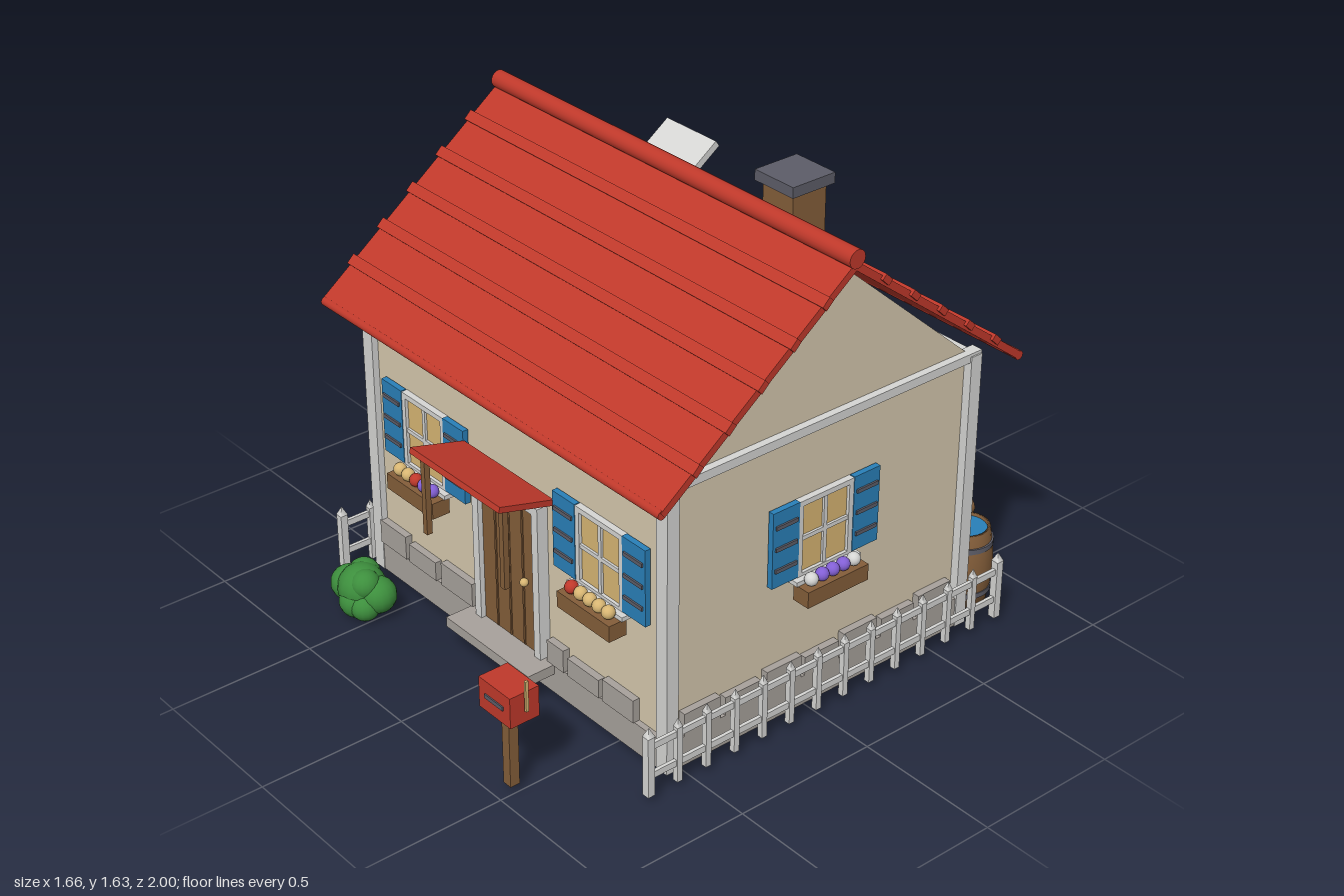
import * as THREE from 'three';

const mat = (name, color) => new THREE.MeshStandardMaterial({ name, color });

export function createModel() {
  const M = {
    red: mat('roof red', 0xc0392b), wall: mat('plaster cream', 0xd6c9ae), white: mat('trim white', 0xd6d6d4),
    brown: mat('wood brown', 0x845e3a), blue: mat('shutter blue', 0x2980b9), stone: mat('stone grey', 0xa8a29c),
    slate: mat('slate grey', 0x5d5d68), gold: mat('warm yellow', 0xd8b673), green: mat('leaf green', 0x3d8f3d),
    purple: mat('flower purple', 0x8360d6),
  };
  const house = new THREE.Group();
  house.name = 'cottage';
  const CZ = -0.05; // house centre line in z

  const put = (parent, name, geo, m, x, y, z) => {
    const mesh = new THREE.Mesh(geo, m);
    mesh.name = name;
    mesh.position.set(x, y, z);
    parent.add(mesh);
    return mesh;
  };
  const box = (parent, name, m, w, h, d, x, y, z) => put(parent, name, new THREE.BoxGeometry(w, h, d), m, x, y, z);
  const ball = (parent, name, m, r, x, y, z) => put(parent, name, new THREE.SphereGeometry(r, 16, 12), m, x, y, z);
  const rod = (parent, name, m, r, len, x, y, z, seg = 16) =>
    put(parent, name, new THREE.CylinderGeometry(r, r, len, seg), m, x, y, z);
  const group = (parent, name, x, y, z, ry = 0) => {
    const g = new THREE.Group();
    g.name = name;
    g.position.set(x, y, z);
    g.rotation.y = ry;
    parent.add(g);
    return g;
  };

  // Foundation and gabled walls
  box(house, 'foundation', M.stone, 1.48, 0.105, 1.24, 0, 0.083, CZ);
  const gable = new THREE.Shape([[-0.6, 0.12], [0.6, 0.12], [0.6, 1], [0, 1.525], [-0.6, 1]].map(p => new THREE.Vector2(...p)));
  const walls = new THREE.ExtrudeGeometry(gable, { depth: 1.43, bevelEnabled: false }).translate(0, 0, -0.715).rotateY(Math.PI / 2);
  put(house, 'walls', walls, M.wall, 0, 0, CZ);

  // Corner posts and top beams
  for (const s of [-1, 1]) {
    for (const t of [-1, 1]) box(house, 'cornerPost', M.white, 0.05, 0.98, 0.045, s * 0.72, 0.52, CZ + t * 0.6);
    box(house, 'sideBeam', M.white, 0.04, 0.03, 1.25, s * 0.72, 1.005, CZ);
    box(house, 'eaveBeam', M.white, 1.46, 0.03, 0.03, 0, 0.995, CZ + s * 0.6);
  }

  // Roof slopes with raised tile courses
  const pitch = Math.atan2(0.535, 0.705);
  for (const ry of [0, Math.PI]) {
    const side = group(house, 'roofSide', 0, 1.54, CZ, ry);
    const slope = group(side, 'roofSlope', 0, 0, 0);
    slope.rotation.x = pitch;
    box(slope, 'roofSlab', M.red, 1.645, 0.024, 0.885, 0, 0, 0.4425);
    for (let i = 0; i < 5; i++) {
      const course = box(slope, 'tileCourse', M.red, 1.665, 0.022, 0.036, 0, 0.008, 0.138 + i * 0.148);
      course.rotation.x = 0.12;
    }
    rod(slope, 'eaveRoll', M.red, 0.015, 1.64, 0, 0, 0.885).rotation.z = Math.PI / 2;
  }
  rod(house, 'ridgeRoll', M.red, 0.03, 1.65, 0, 1.562, CZ, 20).rotation.z = Math.PI / 2;

  // Chimney and raised skylight
  box(house, 'chimney', M.brown, 0.13, 0.3, 0.13, 0.4, 1.46, -0.2);
  box(house, 'chimneyCap', M.slate, 0.165, 0.035, 0.165, 0.4, 1.618, -0.2);
  box(house, 'skylight', M.white, 0.235, 0.024, 0.135, -0.293, 1.42, -0.352).rotation.x = 0.62;

  // Foundation stones along each wall
  const stones = (g, list) => list.forEach(([x, w, h]) => box(g, 'wallStone', M.stone, w, h, 0.03, x, 0.135 + h / 2, 0.008));

  // Window with shutters and flower box; local +z points out of the wall
  const windowUnit = (parent, x, flowers) => {
    const g = group(parent, 'window', x, 0.632, 0);
    box(g, 'glass', M.gold, 0.2, 0.25, 0.012, 0, 0, 0.003);
    for (const s of [-1, 1]) {
      box(g, 'frameSide', M.white, 0.018, 0.27, 0.024, s * 0.101, 0, 0.008);
      box(g, 'frameRail', M.white, 0.22, 0.018, 0.024, 0, s * 0.126, 0.008);
      box(g, 'shutter', M.blue, 0.105, 0.262, 0.02, s * 0.162, 0.007, 0.012);
      for (const y of [-0.065, 0.01, 0.085]) box(g, 'shutterSlat', M.slate, 0.085, 0.013, 0.008, s * 0.162, y, 0.024);
    }
    box(g, 'mullion', M.white, 0.014, 0.25, 0.018, 0, 0, 0.008);
    box(g, 'crossbar', M.white, 0.2, 0.014, 0.018, 0, 0.002, 0.008);
    box(g, 'sill', M.white, 0.26, 0.015, 0.04, 0, -0.135, 0.02);
    box(g, 'flowerBox', M.brown, 0.245, 0.056, 0.065, 0, -0.172, 0.05);
    [...flowers].forEach((c, i) => {
      const fx = (i - (flowers.length - 1) / 2) * 0.043;
      ball(g, 'boxFlower', M[palette[c]], 0.022, fx, -0.123, 0.055);
      rod(g, 'boxStem', M.green, 0.006, 0.04, fx, -0.145, 0.055, 6);
    });
  };
  const palette = { y: 'gold', r: 'red', p: 'purple', w: 'white' };

  // Planked door with frame, knob and step
  const door = (parent, knobX) => {
    const g = group(parent, 'door', 0, 0.135, 0);
    box(g, 'doorLeaf', M.brown, 0.27, 0.51, 0.02, 0, 0.255, 0.01);
    for (const x of [-0.068, 0, 0.068]) box(g, 'plankGap', M.brown, 0.007, 0.5, 0.008, x, 0.255, 0.02);
    for (const s of [-1, 1]) box(g, 'doorJamb', M.white, 0.03, 0.545, 0.045, s * 0.15, 0.272, 0.015);
    box(g, 'doorLintel', M.white, 0.33, 0.03, 0.045, 0, 0.53, 0.015);
    ball(g, 'doorKnob', M.gold, 0.014, knobX, 0.245, 0.032);
    box(g, 'doorStep', M.stone, 0.42, 0.035, 0.12, 0, -0.016, 0.06);
  };

  const front = group(house, 'frontWallParts', 0, 0, 0.552);
  const back = group(house, 'backWallParts', 0, 0, -0.652, Math.PI);
  const faceStones = [[-0.63, 0.14, 0.085], [-0.47, 0.145, 0.068], [-0.285, 0.165, 0.085],
    [0.22, 0.08, 0.08], [0.355, 0.15, 0.065], [0.52, 0.145, 0.08]];
  const faceFlowers = [['yyrpp', 'ryyyy'], ['yyryw', 'rywpp']];
  [front, back].forEach((g, i) => {
    windowUnit(g, -0.435, faceFlowers[i][0]);
    windowUnit(g, 0.435, faceFlowers[i][1]);
    door(g, i ? -0.085 : 0.085);
    stones(g, faceStones);
  });
  for (const s of [-1, 1]) {
    const g = group(house, 'sideWallParts', s * 0.717, 0, CZ, s * Math.PI / 2);
    windowUnit(g, 0, s > 0 ? 'wpppw' : 'pwypp');
    stones(g, [-0.48, -0.32, -0.155, 0, 0.16, 0.32, 0.48].map((x, i) => [x, 0.14, i % 2 ? 0.065 : 0.08]));
  }

  // Canopy over the front door with hanging posts
  box(house, 'canopy', M.red, 0.445, 0.02, 0.205, 0, 0.752, 0.67).rotation.x = -0.26;
  for (const s of [-1, 1]) box(house, 'canopyPost', M.brown, 0.02, 0.275, 0.02, s * 0.195, 0.62, 0.735);

  // Picket fences on both sides
  for (const s of [-1, 1]) {
    const fence = group(house, 'fence', s * 0.78, 0, CZ);
    for (let i = 0; i < 14; i++) {
      const end = i === 0 || i === 13, z = -0.72 + i * 1.44 / 13, w = end ? 0.026 : 0.02, h = end ? 0.21 : 0.195;
      box(fence, 'picket', M.white, w, h, w, 0, 0.03 + h / 2, z);
      const tip = put(fence, 'picketTip', new THREE.ConeGeometry(w * 0.75, 0.03, 4), M.white, 0, 0.045 + h, z);
      tip.rotation.y = Math.PI / 4;
    }
    for (const y of [0.098, 0.202]) box(fence, 'fenceRail', M.white, 0.012, 0.022, 1.44, 0, y, 0);
  }

  // Mailbox
  const mail = group(house, 'mailbox', 0.478, 0, 0.942);
  box(mail, 'mailPost', M.brown, 0.034, 0.27, 0.034, 0, 0.165, 0);
  box(mail, 'mailBody', M.red, 0.148, 0.105, 0.105, 0, 0.343, 0);
  box(mail, 'mailSlot', M.slate, 0.085, 0.014, 0.008, 0, 0.345, 0.053);
  box(mail, 'mailFlag', M.gold, 0.008, 0.105, 0.01, 0.084, 0.388, 0);

  // Bush
  const bush = group(house, 'bush', -0.57, 0, 0.745);
  for (const [x, y, z, r] of [[0, 0.1, 0, 0.08], [-0.06, 0.09, 0.01, 0.06], [0.06, 0.09, -0.02, 0.062], [0.01, 0.065, 0.03, 0.058],
    [-0.03, 0.12, -0.03, 0.055], [0.035, 0.13, 0.01, 0.05], [-0.045, 0.06, -0.03, 0.05], [0.05, 0.06, 0.025, 0.05]])
    ball(bush, 'bushLeaves', M.green, r, x, y, z);

  // Flower bed behind the house
  box(house, 'flowerBed', M.brown, 0.655, 0.06, 0.23, -0.307, 0.06, -0.815);
  const bed = [['p', -0.585, -0.895], ['w', -0.42, -0.865], ['w', -0.365, -0.875], ['r', -0.305, -0.815], ['p', -0.32, -0.79],
    ['y', -0.235, -0.815], ['p', -0.1, -0.87], ['y', -0.02, -0.88], ['y', -0.025, -0.825]];
  bed.forEach(([c, x, z], i) => {
    const h = 0.06 + (i * 3 % 4) * 0.012;
    rod(house, 'bedStem', M.green, 0.006, h, x, 0.09 + h / 2, z, 6);
    ball(house, 'bedFlower', M[palette[c]], 0.022, x, 0.1 + h, z);
  });

  // Log pile
  for (let row = 0; row < 3; row++)
    for (let i = 0; i < 4 - row; i++)
      rod(house, 'log', M.brown, 0.035, 0.3, 0.39 + (i - (3 - row) / 2) * 0.07, 0.065 + row * 0.062, -0.85).rotation.x = Math.PI / 2;

  // Rain barrel
  const barrel = group(house, 'barrel', 0.63, 0, -0.775);
  const stave = [[0, 0.03], [0.078, 0.03], [0.09, 0.1], [0.095, 0.165], [0.09, 0.23], [0.08, 0.3], [0.07, 0.3], [0.07, 0.27]];
  put(barrel, 'barrelBody', new THREE.LatheGeometry(stave.map(p => new THREE.Vector2(...p)), 24), M.brown, 0, 0, 0);
  rod(barrel, 'water', M.blue, 0.075, 0.01, 0, 0.287, 0, 24);
  for (const [y, r] of [[0.08, 0.088], [0.25, 0.089]]) rod(barrel, 'barrelHoop', M.slate, r + 0.003, 0.018, 0, y, 0, 24);

  return house;
}
